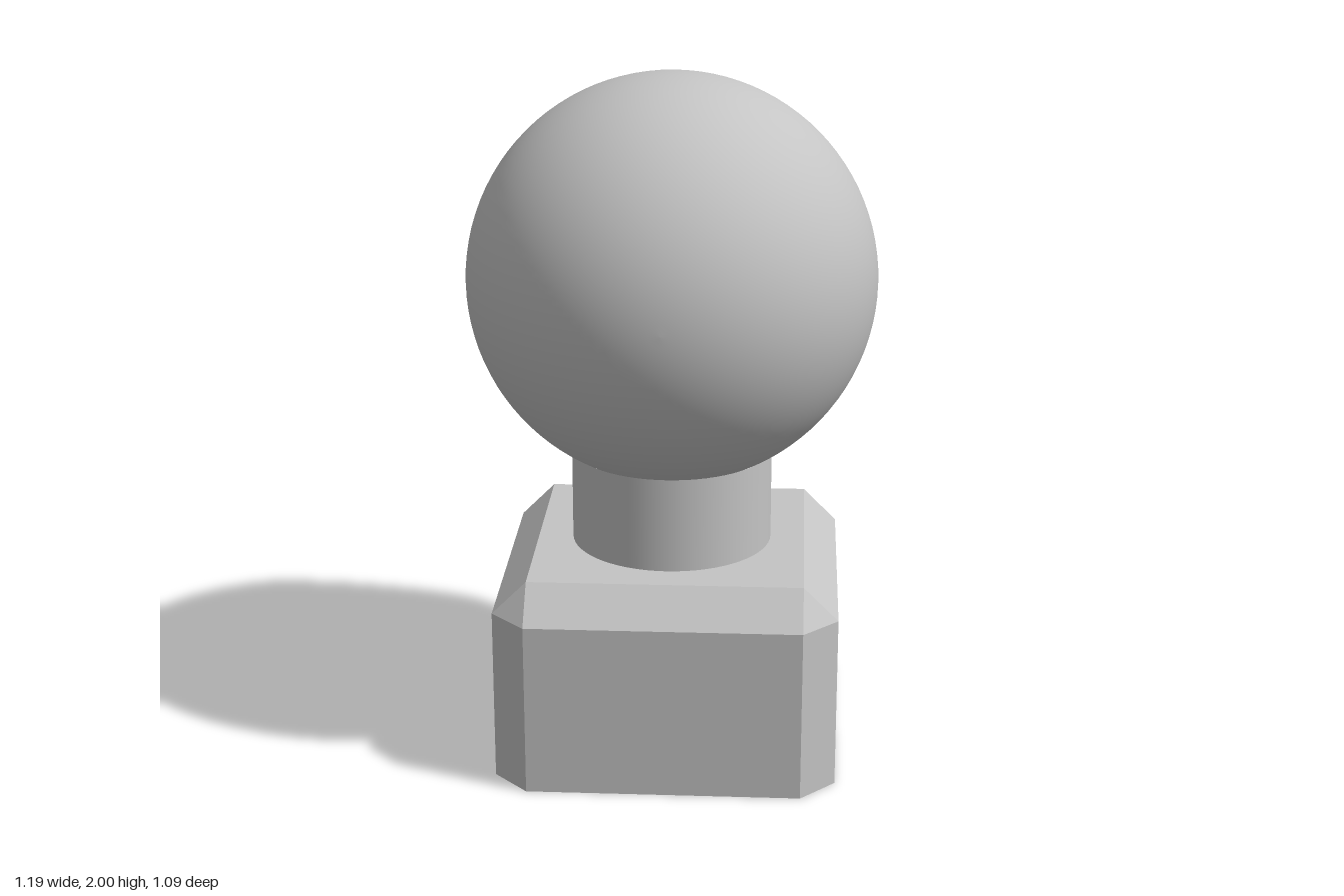
import * as THREE from 'three';
import { ConvexGeometry } from 'three/addons/geometries/ConvexGeometry.js';

const R = 0.593, FLAT = 0.495;   // ball radius, distance of the flat from its centre
const HALF = 0.495, CUT = 0.1;   // base half width, chamfer size
const BASE_H = 0.613, NECK_R = 0.295, CENTRE_Y = 1.407, CENTRE_Z = -0.05;

export function createModel() {
  const model = new THREE.Group();
  model.name = 'ballMount';
  const grey = new THREE.MeshStandardMaterial({ color: 0xc4c4c4 });
  grey.name = 'light grey';

  const add = (name, geometry, y, z = CENTRE_Z) => {
    const mesh = new THREE.Mesh(geometry, grey);
    mesh.name = name;
    mesh.position.set(0, y, z);
    model.add(mesh);
  };

  // Block with chamfered upright and top edges
  const inner = HALF - CUT;
  const corners = [];
  for (const sx of [-1, 1]) for (const sz of [-1, 1]) {
    for (const y of [0, BASE_H - CUT]) {
      corners.push(new THREE.Vector3(sx * HALF, y, sz * inner));
      corners.push(new THREE.Vector3(sx * inner, y, sz * HALF));
    }
    corners.push(new THREE.Vector3(sx * inner, BASE_H, sz * inner));
  }
  add('base', new ConvexGeometry(corners), 0);

  // Neck, ending where it meets the ball
  const neckTop = CENTRE_Y - Math.sqrt(R * R - NECK_R * NECK_R);
  add('neck', new THREE.CylinderGeometry(NECK_R, NECK_R, neckTop - BASE_H, 64, 1, true),
    (neckTop + BASE_H) / 2);

  // Ball, turned about the z axis and cut off at the back
  const start = -Math.asin(FLAT / R);
  const profile = [];
  for (let i = 0; i <= 48; i++) {
    const a = start + (Math.PI / 2 - start) * i / 48;
    profile.push(new THREE.Vector2(Math.max(0, R * Math.cos(a)), R * Math.sin(a)));
  }
  add('ball', new THREE.LatheGeometry(profile, 96).rotateX(Math.PI / 2), CENTRE_Y);

  // Flat face at the back of the ball
  add('ballFlat', new THREE.CircleGeometry(Math.sqrt(R * R - FLAT * FLAT), 96).rotateY(Math.PI),
    CENTRE_Y, CENTRE_Z - FLAT);

  return model;
}
